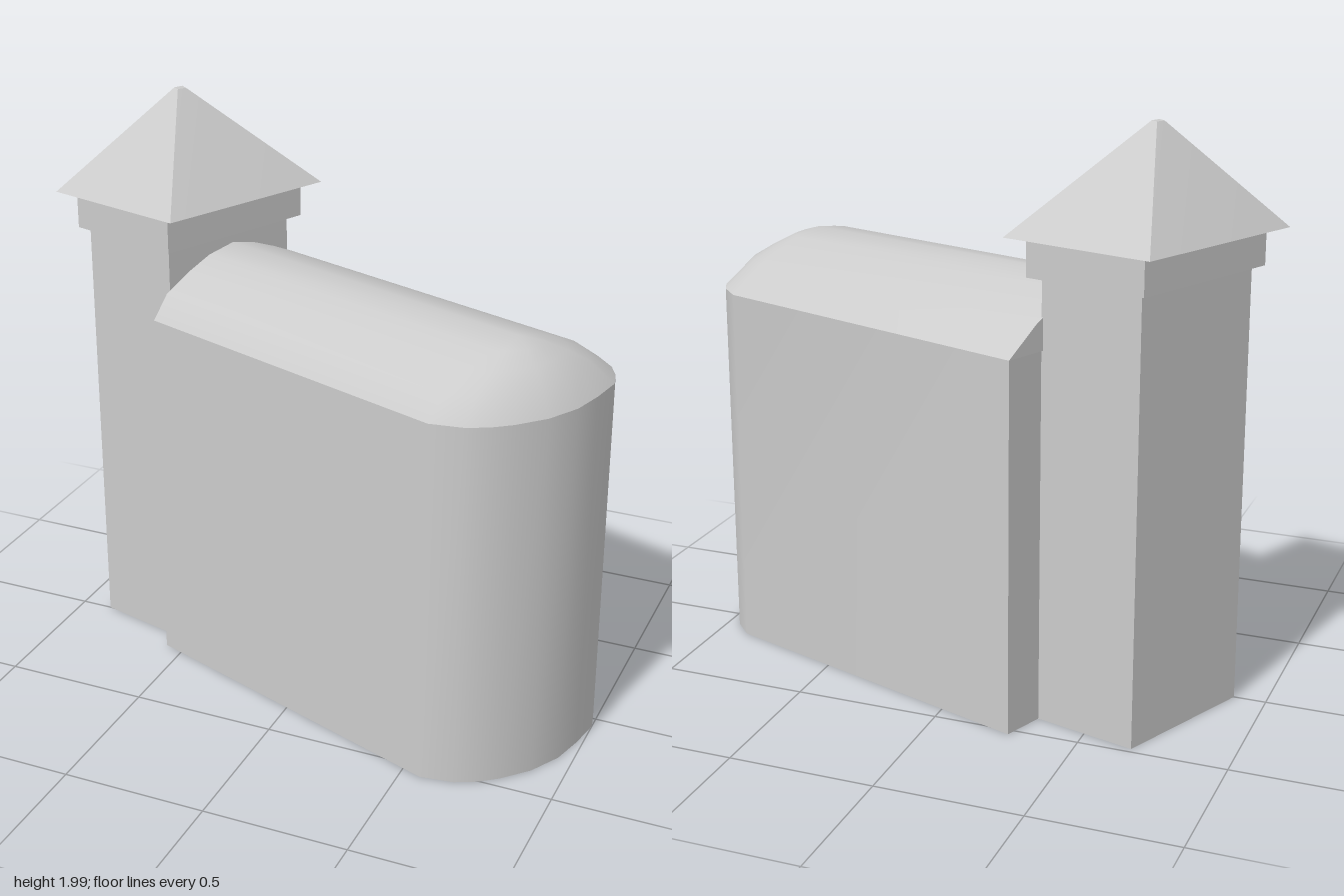
import * as THREE from 'three';
import { mergeVertices, toCreasedNormals } from 'three/addons/utils/BufferGeometryUtils.js';

const material = new THREE.MeshStandardMaterial({ color: 0xcccccc, side: THREE.DoubleSide });

// Skin a list of equally long point rings; crease is the angle kept sharp
function loft(name, rings, closed, crease) {
  const n = rings[0].length;
  const index = [];
  for (let r = 0; r + 1 < rings.length; r++) {
    for (let i = 0; i < (closed ? n : n - 1); i++) {
      const a = r * n + i, b = r * n + (i + 1) % n;
      index.push(a, b, b + n, a, b + n, a + n);
    }
  }
  let geo = new THREE.BufferGeometry();
  geo.setAttribute('position', new THREE.Float32BufferAttribute(rings.flat(2), 3));
  geo.setIndex(index);
  geo = mergeVertices(geo, 1e-4);
  // drop triangles that collapsed to a line at a shared apex
  const src = geo.index.array, kept = [];
  for (let i = 0; i < src.length; i += 3) {
    const [a, b, c] = [src[i], src[i + 1], src[i + 2]];
    if (a !== b && b !== c && a !== c) kept.push(a, b, c);
  }
  geo.setIndex(kept);
  const mesh = new THREE.Mesh(toCreasedNormals(geo, crease), material);
  mesh.name = name;
  return mesh;
}

// Lift plan points [x, z] to height y
const at = (plan, y) => plan.map(([x, z]) => [x, y, z]);

const EAVE = 1.275;

// Plan of the nave: front west corner, rounded apse, back west corner
const frontWest = [-0.57, 0.155], backWest = [-0.27, -0.53];
const apse = [
  [0.567, 0.553], [0.68, 0.537], [0.75, 0.503], [0.81, 0.458], [0.89, 0.375], [0.95, 0.27],
  [0.98, 0.16], [1, 0.045], [0.985, -0.02], [0.955, -0.08], [0.89, -0.147],
];

// Tower plans, ordered back, west, front, east
const shaft = [[-0.675, -0.48], [-0.89, 0], [-0.54, 0.09], [-0.325, -0.39]];
const band = [[-0.69, -0.51], [-0.93, 0.01], [-0.525, 0.12], [-0.28, -0.41]];
const eaves = [[-0.72, -0.56], [-1, 0.03], [-0.49, 0.165], [-0.21, -0.43]];
const tip = [[-0.63, -0.217], [-0.646, -0.19], [-0.624, -0.172], [-0.608, -0.2]];

// Roof curve from eave (0) to ridge (1) as [run, rise], for front and back slopes
const frontCurve = [[0, 0], [0.17, 0.42], [0.43, 0.69], [0.7, 0.9], [1, 1]];
const backCurve = [[0, 0], [0.32, 0.49], [0.53, 0.69], [0.75, 0.87], [1, 1]];

// One roof rib from an eave point up to a ridge point; blend 0 = front, 1 = back
function rib([x, z], [rx, ry, rz], blend) {
  return frontCurve.map(([u, v], i) => {
    const run = THREE.MathUtils.lerp(u, backCurve[i][0], blend);
    const rise = THREE.MathUtils.lerp(v, backCurve[i][1], blend);
    return [x + (rx - x) * run, EAVE + (ry - EAVE) * rise, z + (rz - z) * run];
  });
}

export function createModel() {
  const model = new THREE.Group();
  model.name = 'chapel';

  // Nave walls, open underneath and where the tower joins
  const navePlan = [shaft[2], frontWest, ...apse, backWest, shaft[3]];
  const nave = new THREE.Group();
  nave.name = 'nave';
  nave.add(loft('naveWalls', [at(navePlan, 0), at(navePlan, EAVE)], false, 0.7));

  // Vaulted roof: ribs run round the front slope, apse and back slope
  const westRidge = [-0.429, 1.47, -0.167], eastRidge = [0.73, 1.455, 0.203];
  const frontRib = rib(frontWest, westRidge, 0), backRib = rib(backWest, westRidge, 1);
  const ribs = [
    frontRib,
    ...apse.map((p, i) => rib(p, eastRidge, i / (apse.length - 1))),
    backRib,
  ];
  const rows = frontRib.map((_, i) => ribs.map((r) => r[i]));
  nave.add(loft('naveRoof', rows, false, 0.7));

  // Gable between the two western ribs
  nave.add(loft('naveGable', [backRib, frontRib].map((r) => r), false, 0.5));
  model.add(nave);

  // Tower: lower walls open to the nave, closed shaft above
  const tower = new THREE.Group();
  tower.name = 'tower';
  const lower = [shaft[3], shaft[0], shaft[1], shaft[2]];
  tower.add(loft('towerLowerWalls', [at(lower, 0), at(lower, EAVE)], false, 0.3));
  tower.add(loft('towerShaft', [at(shaft, EAVE), at(shaft, 1.51)], true, 0.3));
  tower.add(loft('towerBand', [at(shaft, 1.51), at(band, 1.51), at(band, 1.635)], true, 0.3));

  // Pyramid roof with flat soffit and a tiny blunt tip
  const centre = tip.map(() => [-0.627, -0.195]);
  tower.add(loft('towerRoof', [at(band, 1.635), at(eaves, 1.635), at(tip, 1.985), at(centre, 1.985)], true, 0.3));
  model.add(tower);

  return model;
}
